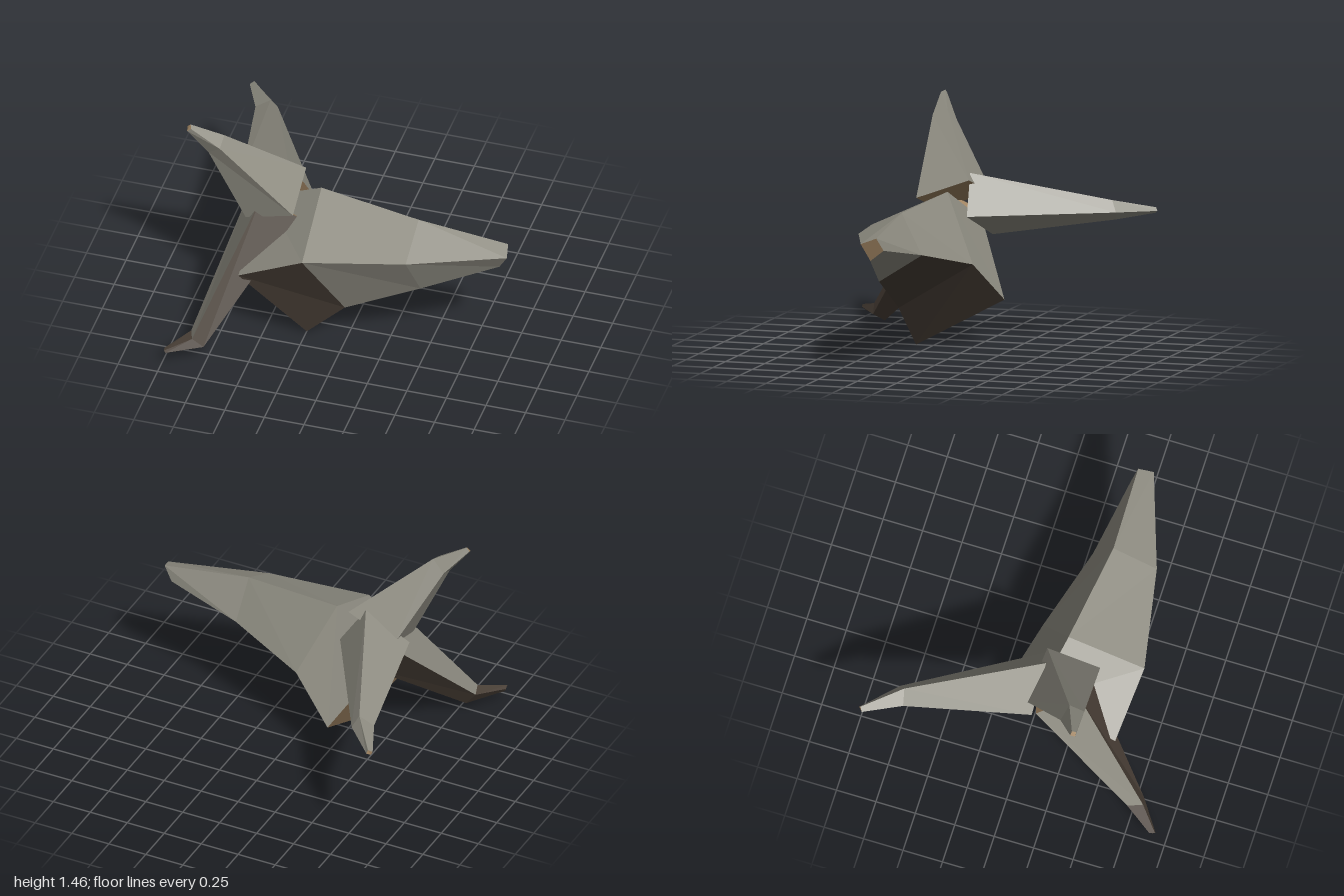
import * as THREE from 'three';

const mat = (name, color) => {
  const m = new THREE.MeshStandardMaterial({ color, flatShading: true });
  m.name = name;
  return m;
};

// Tapered four-sided shard: skins 4-point rings from root to tip and caps both ends.
// paint(segment, side) gives the material index of each side face; caps use index 2.
function shard(name, rings, paint, materials) {
  const R = rings.map(r => r.map(p => new THREE.Vector3(...p)));
  const mid = pts => pts.reduce((s, p) => s.add(p), new THREE.Vector3()).divideScalar(pts.length);
  const buckets = [[], [], []];

  // Add a quad, wound so that it faces away from the given inner point
  const quad = (q, inner, index) => {
    const normal = q[2].clone().sub(q[0]).cross(q[3].clone().sub(q[1]));
    const outward = mid(q).sub(inner);
    const [a, b, c, d] = q;
    const tris = normal.dot(outward) > 0 ? [a, b, c, a, c, d] : [a, c, b, a, d, c];
    tris.forEach(p => buckets[index].push(p.x, p.y, p.z));
  };

  for (let s = 0; s < R.length - 1; s++) {
    const inner = mid([...R[s], ...R[s + 1]]);
    for (let i = 0; i < 4; i++) {
      const j = (i + 1) % 4;
      quad([R[s][i], R[s][j], R[s + 1][j], R[s + 1][i]], inner, paint(s, i));
    }
  }
  const last = R.length - 1;
  quad(R[0], mid(R[1]), 2);
  quad(R[last], mid(R[last - 1]), 2);

  const geo = new THREE.BufferGeometry();
  geo.setAttribute('position', new THREE.Float32BufferAttribute(buckets.flat(), 3));
  let start = 0;
  buckets.forEach((b, i) => {
    if (b.length) geo.addGroup(start, b.length / 3, i);
    start += b.length / 3;
  });
  geo.computeVertexNormals();
  const mesh = new THREE.Mesh(geo, materials);
  mesh.name = name;
  return mesh;
}

export function createModel() {
  const group = new THREE.Group();
  group.name = 'spikedShards';
  const materials = [mat('stoneGrey', 0x8f8d82), mat('darkBrown', 0x4a4037), mat('tanEnds', 0xa08462)];

  // Large shard pointing left; ring order: top, front, bottom, back
  group.add(shard('mainSpike', [
    [[-0.60, 0.73, 0.05], [-0.62, 0.50, 0.57], [-0.25, 0.00, 0.36], [-0.32, 0.29, -0.18]],
    [[-0.22, 0.95, 0.15], [-0.20, 0.73, 0.625], [0.00, 0.26, 0.39], [-0.05, 0.54, -0.065]],
    [[0.42, 0.91, 0.235], [0.42, 0.77, 0.51], [0.47, 0.49, 0.363], [0.44, 0.66, 0.10]],
    [[0.98, 0.835, 0.217], [1.00, 0.80, 0.31], [0.94, 0.69, 0.267], [0.92, 0.753, 0.19]],
  ], (s, i) => ((i === 2 && s < 2) || (i === 1 && s === 0) ? 1 : 0), materials));

  // Raised shard; ring order: ridge, front, lower, rear
  group.add(shard('upperSpike', [
    [[-0.345, 1.005, 0.055], [-0.33, 0.885, 0.385], [-0.64, 0.775, 0.345], [-0.67, 0.89, 0.015]],
    [[-0.78, 1.36, 0.33], [-0.78, 1.325, 0.425], [-0.86, 1.26, 0.395], [-0.865, 1.295, 0.30]],
    [[-0.97, 1.455, 0.405], [-0.96, 1.44, 0.43], [-0.985, 1.42, 0.43], [-0.99, 1.435, 0.40]],
  ], () => 0, materials));

  // Rear shard; ring order: top, left, bottom, right
  group.add(shard('rearSpike', [
    [[-0.45, 1.035, 0.08], [-0.29, 0.79, 0.05], [-0.585, 0.645, -0.02], [-0.745, 0.89, 0.08]],
    [[-0.80, 0.855, -0.71], [-0.765, 0.785, -0.745], [-0.845, 0.73, -0.72], [-0.89, 0.80, -0.69]],
    [[-0.97, 0.797, -0.935], [-0.965, 0.775, -0.945], [-0.985, 0.76, -0.925], [-0.995, 0.78, -0.92]],
  ], () => 0, materials));

  // Lowered front shard; ring order: top, left, bottom, right
  group.add(shard('lowerSpike', [
    [[-0.555, 0.91, 0.32], [-0.33, 0.815, 0.30], [-0.46, 0.66, 0.02], [-0.69, 0.78, 0.09]],
    [[-0.838, 0.147, 0.815], [-0.77, 0.09, 0.80], [-0.80, 0.05, 0.735], [-0.87, 0.14, 0.725]],
    [[-0.98, 0.115, 0.935], [-0.97, 0.10, 0.935], [-0.975, 0.083, 0.915], [-0.987, 0.11, 0.90]],
  ], (s, i) => (s === 0 && i === 3 ? 0 : 1), materials));

  return group;
}
